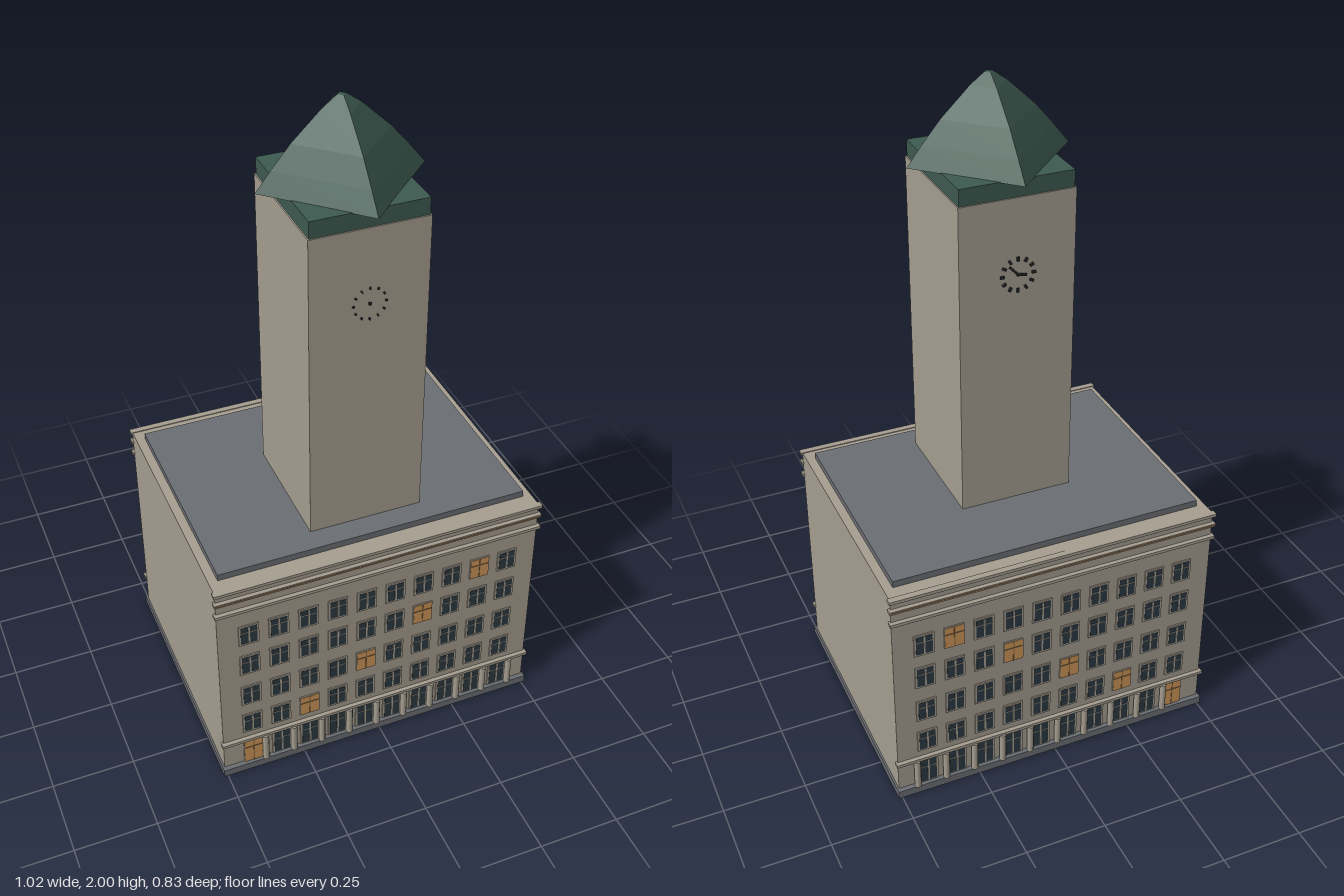
import * as THREE from 'three';

const paint = (name, color) => {
  const m = new THREE.MeshStandardMaterial({ color });
  m.name = name;
  return m;
};

export function createModel() {
  const stone = paint('stone', 0xa69e90);
  const slate = paint('slate', 0x6b6e73);
  const copper = paint('green copper', 0x3d5a50);
  const glass = paint('dark glass', 0x2c3a42);
  const lit = paint('lit glass', 0xcf9658);
  const bronze = paint('bronze', 0x8a6b48);
  const dark = paint('clock metal', 0x25282a);

  const model = new THREE.Group();
  model.name = 'towerBuilding';

  // Box placed by its centre
  const box = (parent, name, mat, [w, h, d], [x, y, z]) => {
    const mesh = new THREE.Mesh(new THREE.BoxGeometry(w, h, d), mat);
    mesh.name = name;
    mesh.position.set(x, y, z);
    parent.add(mesh);
    return mesh;
  };

  // Main block, plinth and roof slab
  box(model, 'plinth', slate, [1.022, 0.025, 0.824], [0, 0.0125, 0]);
  box(model, 'mainBlock', stone, [1.01, 0.715, 0.794], [0, 0.38, 0]);
  box(model, 'roofSlab', slate, [0.956, 0.022, 0.696], [0, 0.747, 0]);

  // Window with surround, glazing and glazing bars
  const addWindow = (parent, x, y, h, isLit, side) => {
    const win = new THREE.Group();
    win.name = isLit ? 'litWindow' : 'window';
    win.position.set(x, y, side * 0.397);
    parent.add(win);
    const w = 0.062;
    box(win, 'surround', stone, [w, h, 0.008], [0, 0, 0]);
    const inset = isLit ? 0.004 : 0.012;
    box(win, 'pane', isLit ? lit : glass, [w - inset, h - inset, 0.004], [0, 0, side * 0.003]);
    const bar = isLit ? bronze : stone;
    box(win, 'mullion', bar, [isLit ? 0.003 : 0.005, h - inset, 0.004], [0, 0, side * 0.0045]);
    box(win, 'transom', bar, [w - inset, 0.0025, 0.004], [0, h * 0.16, side * 0.0045]);
  };

  // The two long facades share bays, mouldings and half columns
  const bay = 0.0913;
  const rows = [[0.07, 0.095], [0.19, 0.074], [0.308, 0.074], [0.434, 0.074], [0.552, 0.074]];
  const columnGeo = new THREE.CylinderGeometry(0.01, 0.01, 0.098, 10);
  for (const side of [1, -1]) {
    const facade = new THREE.Group();
    facade.name = side > 0 ? 'frontFacade' : 'backFacade';
    model.add(facade);
    rows.forEach(([y, h], r) => {
      for (let i = 0; i < 10; i++) addWindow(facade, (i - 4.5) * bay, y, h, i === r * 2, side);
    });
    for (let i = 0; i < 10; i++) {
      const column = new THREE.Mesh(columnGeo, stone);
      column.name = 'halfColumn';
      column.position.set(-0.374 + i * bay, 0.073, side * 0.407);
      facade.add(column);
    }
    for (const y of [0.125, 0.655, 0.7, 0.735]) {
      box(facade, 'moulding', stone, [1.022, 0.01, 0.02], [0, y, side * 0.4]);
    }
    box(facade, 'bronzeTrim', bronze, [1.018, 0.004, 0.004], [0, 0.7, side * 0.409]);
  }

  // Tower, set towards the front
  const tower = new THREE.Group();
  tower.name = 'tower';
  tower.position.z = 0.083;
  model.add(tower);
  box(tower, 'towerShaft', stone, [0.344, 0.965, 0.388], [0, 1.2325, 0]);
  box(tower, 'towerCap', copper, [0.336, 0.05, 0.38], [0, 1.74, 0]);

  // Four-sided bell roof with its corners on the axes
  const profile = [[0, 1.763], [0.24, 1.763], [0.195, 1.82], [0.14, 1.885], [0.055, 1.966], [0.013, 1.997], [0, 2]]
    .map(([r, y]) => new THREE.Vector2(r, y));
  const roofGeo = new THREE.LatheGeometry(profile, 4).toNonIndexed();
  roofGeo.computeVertexNormals();
  const roof = new THREE.Mesh(roofGeo, copper);
  roof.name = 'towerRoof';
  tower.add(roof);

  // Clocks: the front keeps only small hour dots, the back has ticks and hands
  for (const side of [1, -1]) {
    const clock = new THREE.Group();
    clock.name = side > 0 ? 'frontClock' : 'backClock';
    clock.position.set(0, 1.49, side * 0.196);
    if (side < 0) clock.rotation.y = Math.PI;
    tower.add(clock);
    for (let i = 0; i < 12; i++) {
      const a = (i * Math.PI) / 6;
      const size = side > 0 ? [0.004, 0.006, 0.008] : [0.007, 0.012, 0.008];
      const tick = box(clock, 'hourMark', dark, size, [0.047 * Math.sin(a), 0.047 * Math.cos(a), 0]);
      tick.rotation.z = -a;
    }
    box(clock, 'hub', dark, [0.007, 0.007, 0.008], [0, 0, 0]);
    if (side > 0) continue;
    for (const [length, a] of [[0.036, -0.75], [0.026, 1.75]]) {
      const hand = box(clock, 'hand', dark, [0.007, length, 0.006],
        [Math.sin(a) * length / 2, Math.cos(a) * length / 2, 0]);
      hand.rotation.z = -a;
    }
  }
  return model;
}
